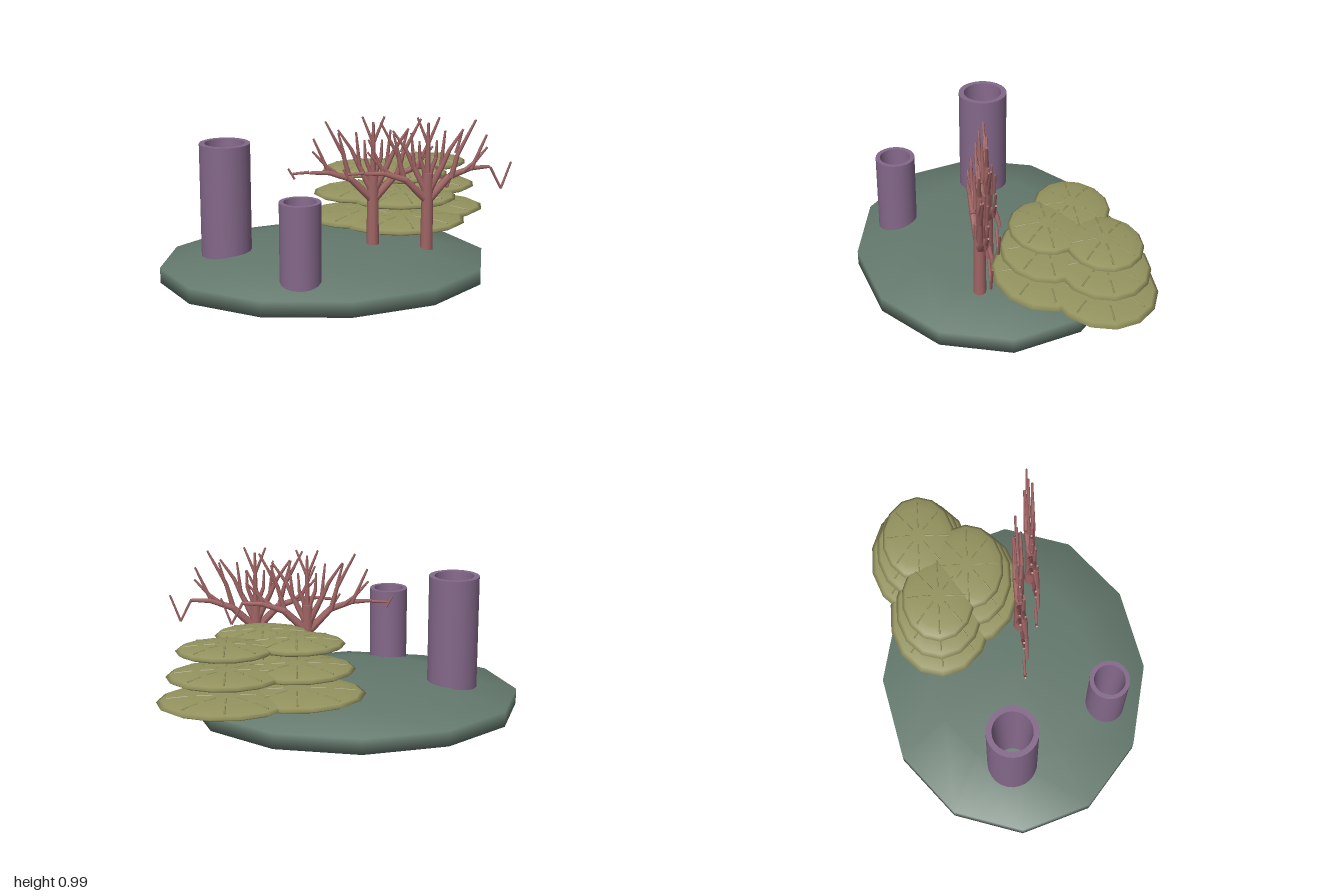
import * as THREE from 'three';
import { mergeGeometries } from 'three/addons/utils/BufferGeometryUtils.js';

const mat = (name, color) => {
  const m = new THREE.MeshStandardMaterial({ color });
  m.name = name;
  return m;
};

// Tapered round bar between two points
function bar(a, b, r0, r1, sides = 6) {
  const dir = b.clone().sub(a);
  const g = new THREE.CylinderGeometry(r1, r0, dir.length(), sides);
  const q = new THREE.Quaternion().setFromUnitVectors(new THREE.Vector3(0, 1, 0), dir.normalize());
  return g.applyQuaternion(q).translate((a.x + b.x) / 2, (a.y + b.y) / 2, (a.z + b.z) / 2);
}

// Hollow sponge: outer wall, flat rim and an inner wall narrowing downward
function tubeSponge(R, bottom, top) {
  const profile = [[R, bottom], [R, top], [R * 0.78, top], [R * 0.52, bottom]].map(p => new THREE.Vector2(...p));
  const walls = [];
  for (let i = 0; i < 3; i++) walls.push(new THREE.LatheGeometry([profile[i], profile[i + 1]], 24));
  return mergeGeometries(walls);
}

// Flat fan of branches; each path lists [x, y, radius]
const fanPaths = [
  [[0, 0.52, 0.026], [0.13, 0.65, 0.019], [0.25, 0.69, 0.014], [0.36, 0.695, 0.009]],
  [[0.25, 0.69, 0.012], [0.29, 0.78, 0.009], [0.335, 0.88, 0.006]],
  [[0.13, 0.65, 0.016], [0.165, 0.78, 0.012], [0.265, 0.97, 0.006]],
  [[0.165, 0.78, 0.01], [0.2, 0.91, 0.006]],
  [[0.2, 0.675, 0.012], [0.27, 0.73, 0.009], [0.34, 0.81, 0.006]],
  [[0, 0.56, 0.022], [0.08, 0.72, 0.015], [0.12, 0.81, 0.011], [0.195, 0.92, 0.006]],
  [[0.08, 0.72, 0.012], [0.09, 0.82, 0.009], [0.1, 0.91, 0.006]],
  [[0, 0.64, 0.015], [0.045, 0.76, 0.011], [0.05, 0.86, 0.006]],
  [[0, 0.84, 0.01], [0.06, 0.99, 0.006]],
];
function branchFan() {
  const parts = [];
  const path = (pts, side, depth) => {
    const v = pts.map(([x, y]) => new THREE.Vector3(x * side, y, depth * Math.min(1, Math.abs(x) * 8)));
    for (let i = 0; i < v.length - 1; i++) parts.push(bar(v[i], v[i + 1], pts[i][2], pts[i + 1][2]));
  };
  parts.push(bar(new THREE.Vector3(0, 0.22, 0), new THREE.Vector3(0, 0.68, 0), 0.036, 0.03, 10));
  path([[0, 0.6, 0.02], [0, 0.84, 0.012], [0, 0.96, 0.007]], 1, 0);
  for (const side of [-1, 1])
    fanPaths.forEach((p, i) => path(p, side, side * ((i % 3) - 1) * 0.016));
  // Hooked tips at the ends of the lowest branches
  path([[0.36, 0.695, 0.008], [0.425, 0.57, 0.007], [0.48, 0.72, 0.006]], 1, 0);
  path([[0.36, 0.695, 0.009], [0.45, 0.69, 0.007]], -1, 0);
  path([[0.44, 0.66, 0.007], [0.475, 0.72, 0.006]], -1, 0);
  return mergeGeometries(parts);
}

// Thin plate with eight interrupted ridges on its upper face
function coralPlate(rx, ry, rz) {
  const parts = [new THREE.SphereGeometry(1, 14, 8).scale(rx, ry, rz)];
  const onTop = (t, a) => new THREE.Vector3(
    t * rx * Math.cos(a), ry * Math.sqrt(1 - t * t) * 0.97, t * rz * Math.sin(a));
  for (let i = 0; i < 8; i++) {
    const a = (i * Math.PI) / 4;
    for (const [t0, t1] of [[0.2, 0.42], [0.55, 0.85]])
      parts.push(bar(onTop(t0, a), onTop(t1, a), 0.005, 0.005, 5));
  }
  return mergeGeometries(parts);
}

export function createModel() {
  const root = new THREE.Group();
  const stone = mat('mossy green', 0x64796d);
  const purple = mat('dusty purple', 0x84688a);
  const red = mat('dull red', 0xa06464);
  const olive = mat('olive', 0x94935f);
  const add = (name, geo, material, x, y, z, parent = root) => {
    const m = new THREE.Mesh(geo, material);
    m.name = name;
    m.position.set(x, y, z);
    parent.add(m);
    return m;
  };

  // Twelve-sided flattened rock
  add('rockBase', new THREE.SphereGeometry(1, 12, 5).scale(0.967, 0.14, 0.796), stone, -0.08, 0.14, 0.018);

  // Tube sponges
  add('tallTube', tubeSponge(0.14, 0.16, 0.86), purple, -0.625, 0, -0.02);
  add('shortTube', tubeSponge(0.11, 0.16, 0.655), purple, -0.305, 0, 0.525);

  // Branching corals
  const fan = branchFan();
  add('backBranchCoral', fan, red, 0.185, 0, 0.068);
  add('frontBranchCoral', fan, red, 0.475, 0, 0.148);

  // Three overlapping stacks of three plates
  const tiers = [[0.37, 0.295, 0.31], [0.315, 0.25, 0.45], [0.26, 0.205, 0.59]];
  const plates = tiers.map(([rx, rz]) => coralPlate(rx, 0.035, rz));
  [[0.25, -0.385], [0.62, -0.485], [0.43, -0.215]].forEach(([x, z], s) => {
    const stack = new THREE.Group();
    stack.name = 'plateCoral' + (s + 1);
    tiers.forEach((t, i) => add('plate' + (i + 1), plates[i], olive, x, t[2], z, stack));
    root.add(stack);
  });
  return root;
}
